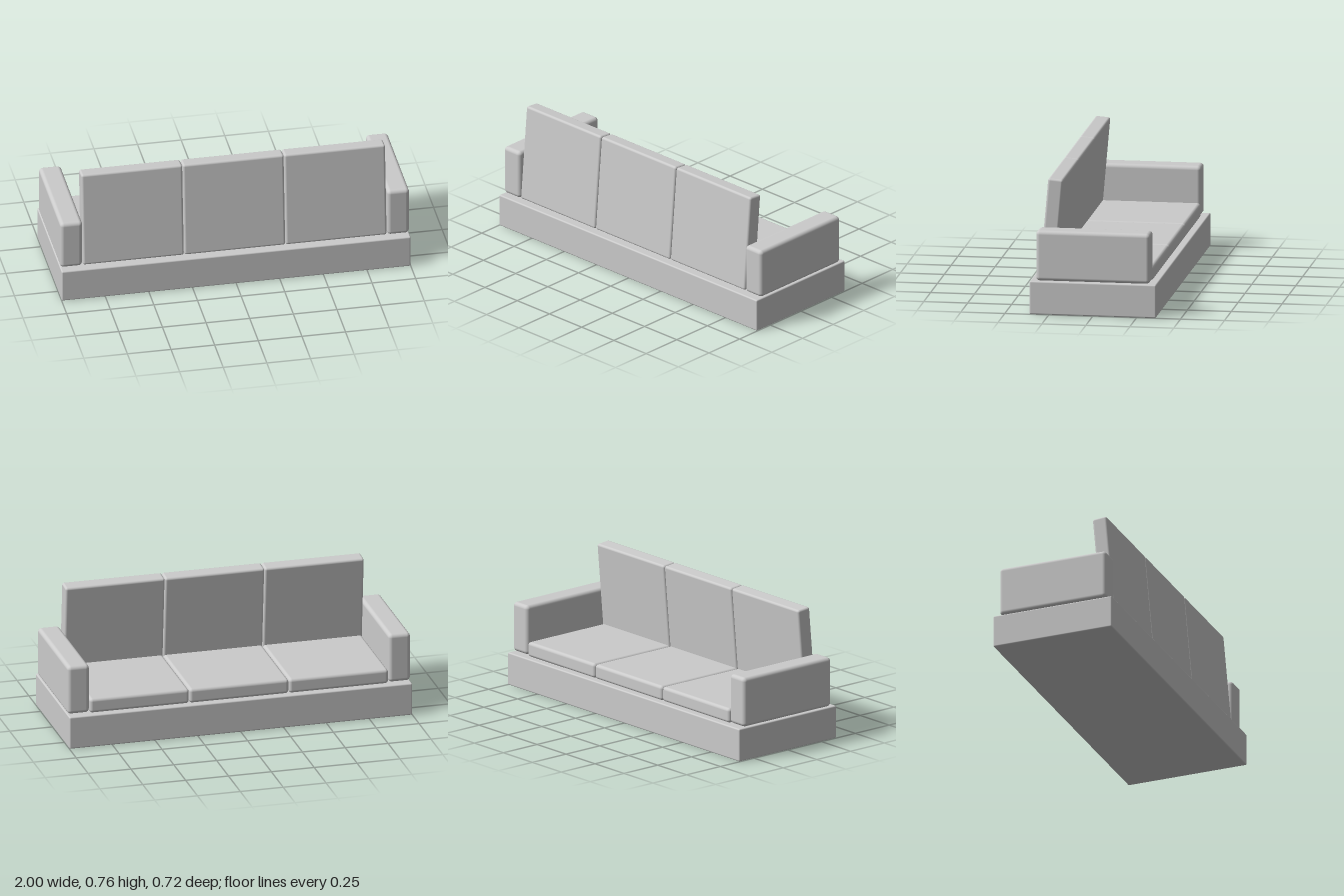
import * as THREE from 'three';
import { RoundedBoxGeometry } from 'three/addons/geometries/RoundedBoxGeometry.js';

const material = new THREE.MeshStandardMaterial({ color: 0xcccccc });

// Soft-edged block given by its size, centre and edge radius
function block(name, [w, h, d], [x, y, z], radius) {
  const mesh = new THREE.Mesh(new RoundedBoxGeometry(w, h, d, 4, radius), material);
  mesh.name = name;
  mesh.position.set(x, y, z);
  return mesh;
}

export function createModel() {
  const sofa = new THREE.Group();
  sofa.name = 'sofa';

  // Solid plinth
  sofa.add(block('base', [2, 0.19, 0.72], [0, 0.095, 0], 0.008));

  // Armrests
  for (const side of [-1, 1]) {
    const name = side > 0 ? 'leftArmrest' : 'rightArmrest';
    sofa.add(block(name, [0.127, 0.287, 0.648], [side * 0.9365, 0.3365, 0], 0.022));
  }

  // Three seat cushions, each with a back cushion leaning over its seat
  const pitch = 0.581;
  for (let i = -1; i <= 1; i++) {
    const x = i * pitch;
    sofa.add(block('seatCushion', [0.579, 0.085, 0.575], [x, 0.231, -0.0375], 0.018));

    const back = block('backCushion', [0.579, 0.561, 0.086], [x, 0.4735, 0.256], 0.013);
    back.rotation.x = -THREE.MathUtils.degToRad(5);
    sofa.add(back);
  }

  return sofa;
}
